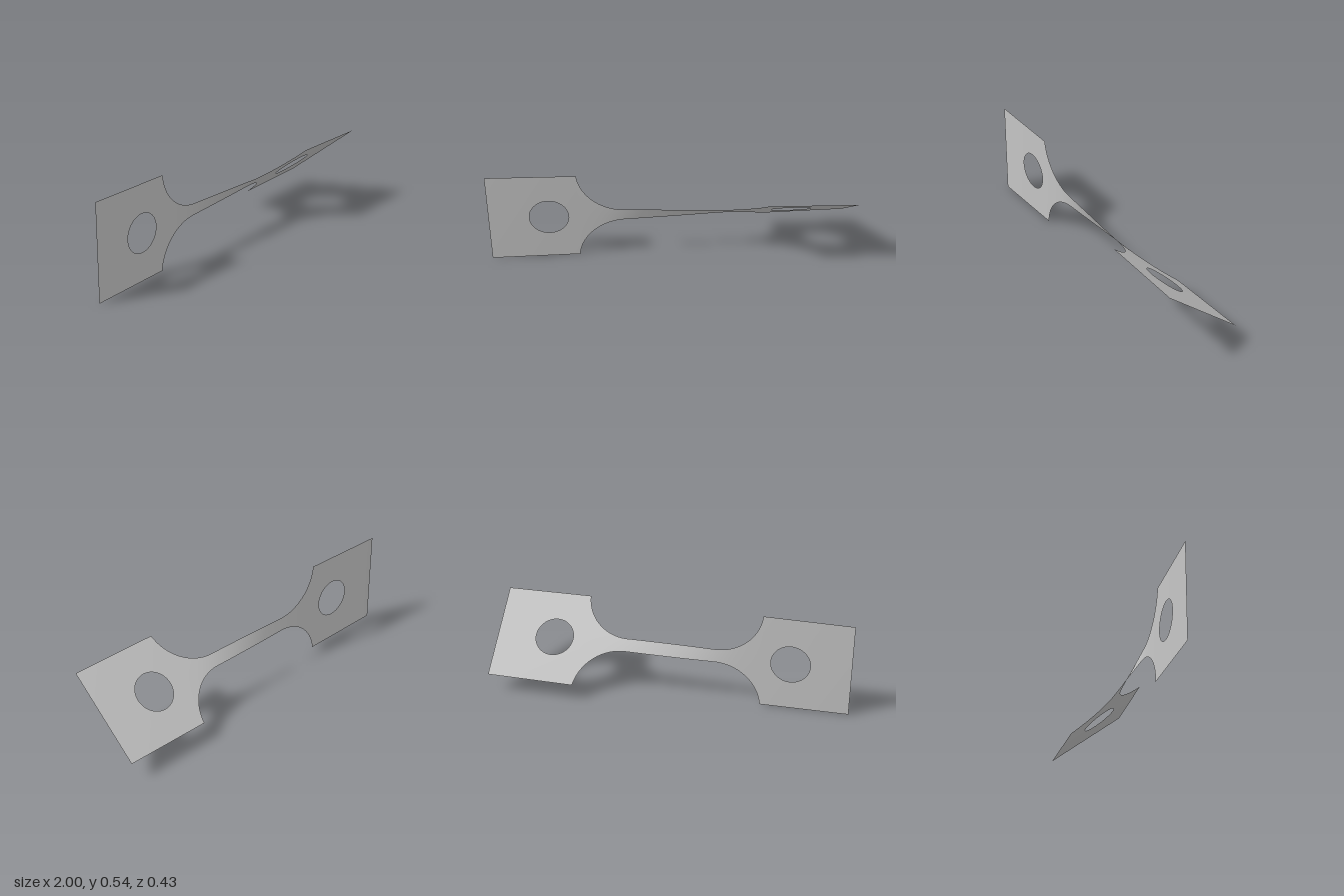
import * as THREE from 'three';
import { mergeGeometries, mergeVertices } from 'three/addons/utils/BufferGeometryUtils.js';

const HALF = 0.271, NECK = 0.037;        // half widths of the tabs and the neck
const SHOULDER = 0.51, NECK_END = 0.25;  // fillet runs between these |x|
const HOLE_X = 0.669, HOLE_R = 0.108;
const TWIST = THREE.MathUtils.degToRad(51.7);

// half width of the flat outline at x
function halfWidth(x) {
  const a = Math.abs(x);
  if (a >= SHOULDER) return HALF;
  if (a <= NECK_END) return NECK;
  const run = SHOULDER - NECK_END, rise = HALF - NECK;
  const r = (run * run + rise * rise) / (2 * rise);
  return NECK + r - Math.sqrt(r * r - (a - NECK_END) ** 2);
}

// half height of the hole at x
function holeHalf(x) {
  return Math.sqrt(Math.max(0, HOLE_R ** 2 - (Math.abs(x) - HOLE_X) ** 2));
}

// stations along the strip, closer together at the ends of each span
function stations() {
  const half = [0, NECK_END, SHOULDER, HOLE_X - HOLE_R, HOLE_X + HOLE_R, 1];
  const counts = [24, 30, 6, 40, 12];
  const xs = [0];
  counts.forEach((n, k) => {
    for (let i = 1; i <= n; i++) {
      const t = (1 - Math.cos(Math.PI * i / n)) / 2;
      xs.push(half[k] + (half[k + 1] - half[k]) * t);
    }
  });
  return [...xs.slice(1).reverse().map(x => -x), ...xs];
}

// the narrow neck takes most of the twist
function twistAngles(xs) {
  const rate = x => halfWidth(x) ** -1.5;
  const sums = [0];
  for (let i = 1; i < xs.length; i++) {
    sums.push(sums[i - 1] + rate((xs[i] + xs[i - 1]) / 2) * (xs[i] - xs[i - 1]));
  }
  const total = sums[sums.length - 1];
  return sums.map(s => TWIST * s / total);
}

// upper (side 1) or lower (side -1) half of the twisted sheet
function halfSheet(side, xs, angles) {
  const rows = 10, cols = xs.length - 1;
  const geo = new THREE.PlaneGeometry(1, 1, cols, rows);
  const pos = geo.attributes.position;
  for (let i = 0; i < pos.count; i++) {
    const c = i % (cols + 1), v = Math.floor(i / (cols + 1)) / rows;
    const t = side > 0 ? 1 - v : v;
    const x = xs[c];
    const s = side * THREE.MathUtils.lerp(holeHalf(x), halfWidth(x), t);
    pos.setXYZ(i, x, HALF + s * Math.cos(angles[c]), s * Math.sin(angles[c]));
  }
  geo.deleteAttribute('uv');
  geo.deleteAttribute('normal');
  return geo;
}

export function createModel() {
  const group = new THREE.Group();
  group.name = 'twistedSpecimen';
  const metal = new THREE.MeshStandardMaterial({ color: 0xc4c4c4, side: THREE.DoubleSide });
  metal.name = 'light grey metal';

  const xs = stations(), angles = twistAngles(xs);
  const geo = mergeVertices(mergeGeometries([1, -1].map(s => halfSheet(s, xs, angles))), 1e-5);
  geo.computeVertexNormals();

  const strip = new THREE.Mesh(geo, metal);
  strip.name = 'twistedStrip';
  group.add(strip);
  return group;
}
